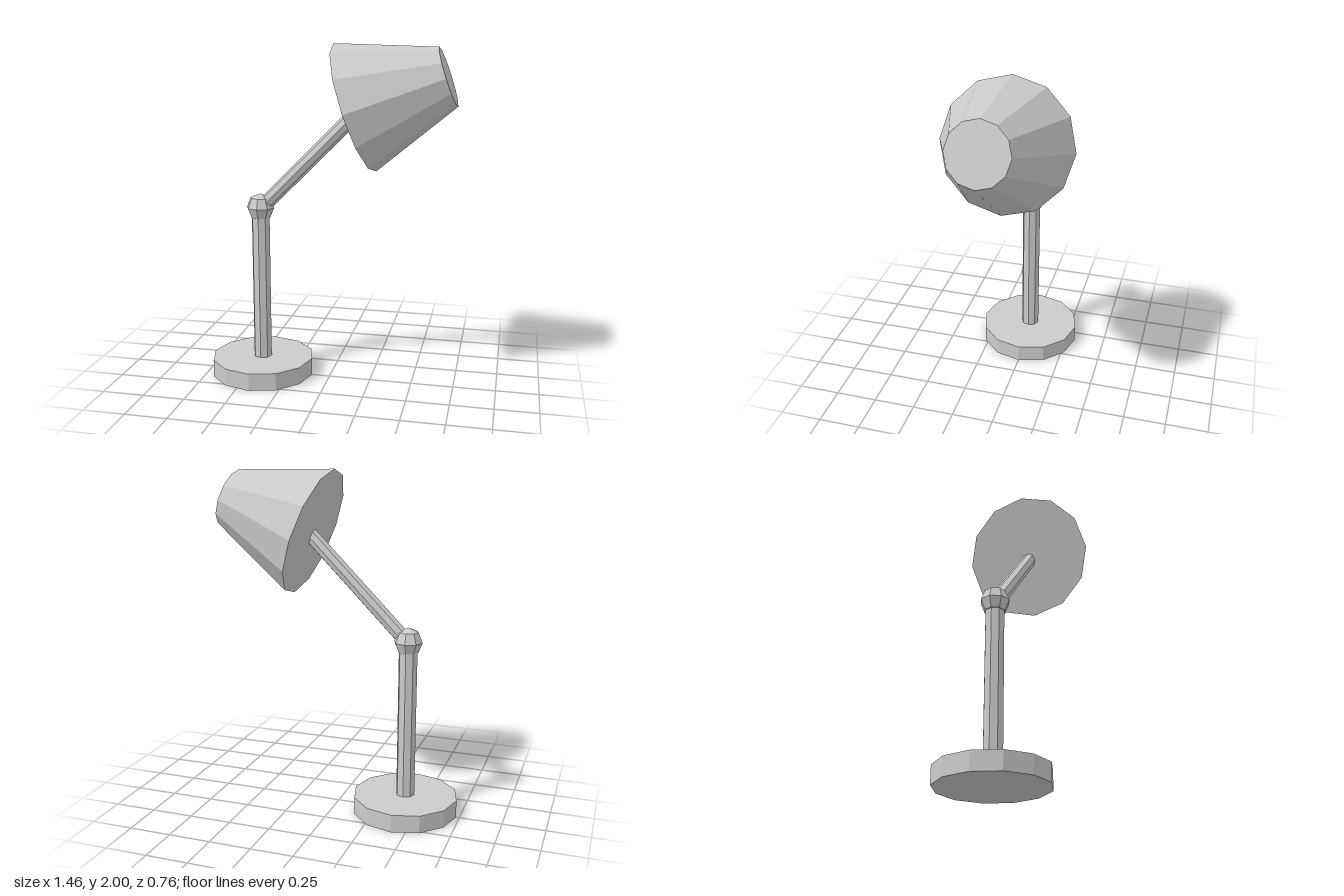
import * as THREE from 'three';

const material = new THREE.MeshStandardMaterial({ color: 0xcccccc, flatShading: true });
const POST_X = -0.42;

function addMesh(group, name, geometry, x = 0, y = 0) {
  const mesh = new THREE.Mesh(geometry, material);
  mesh.name = name;
  mesh.position.set(x, y, 0);
  group.add(mesh);
  return mesh;
}

// Faceted, capped cylinder or cone running between two points in the x-y plane
function addRod(group, name, from, to, rFrom, rTo, sides) {
  const a = new THREE.Vector2(...from);
  const d = new THREE.Vector2(...to).sub(a);
  const geometry = new THREE.CylinderGeometry(rTo, rFrom, d.length(), sides);
  const mesh = addMesh(group, name, geometry, a.x + d.x / 2, a.y + d.y / 2);
  mesh.rotation.z = d.angle() - Math.PI / 2;
  return mesh;
}

export function createModel() {
  const lamp = new THREE.Group();
  lamp.name = 'deskLamp';

  // Twelve-sided foot and upright post
  addRod(lamp, 'base', [POST_X, 0], [POST_X, 0.105], 0.31, 0.31, 12);
  addRod(lamp, 'post', [POST_X, 0.1], [POST_X, 1.02], 0.055, 0.055, 8);

  // Faceted ball joint
  addMesh(lamp, 'joint', new THREE.SphereGeometry(0.084, 8, 4), POST_X, 1.04);

  // Slanted arm, ending inside the shade
  addRod(lamp, 'arm', [-0.372, 1.08], [0.2, 1.655], 0.044, 0.044, 8);

  // Closed conical shade, wide end towards the arm
  addRod(lamp, 'shade', [0.149, 1.642], [0.67, 1.824], 0.38, 0.172, 12);

  return lamp;
}
